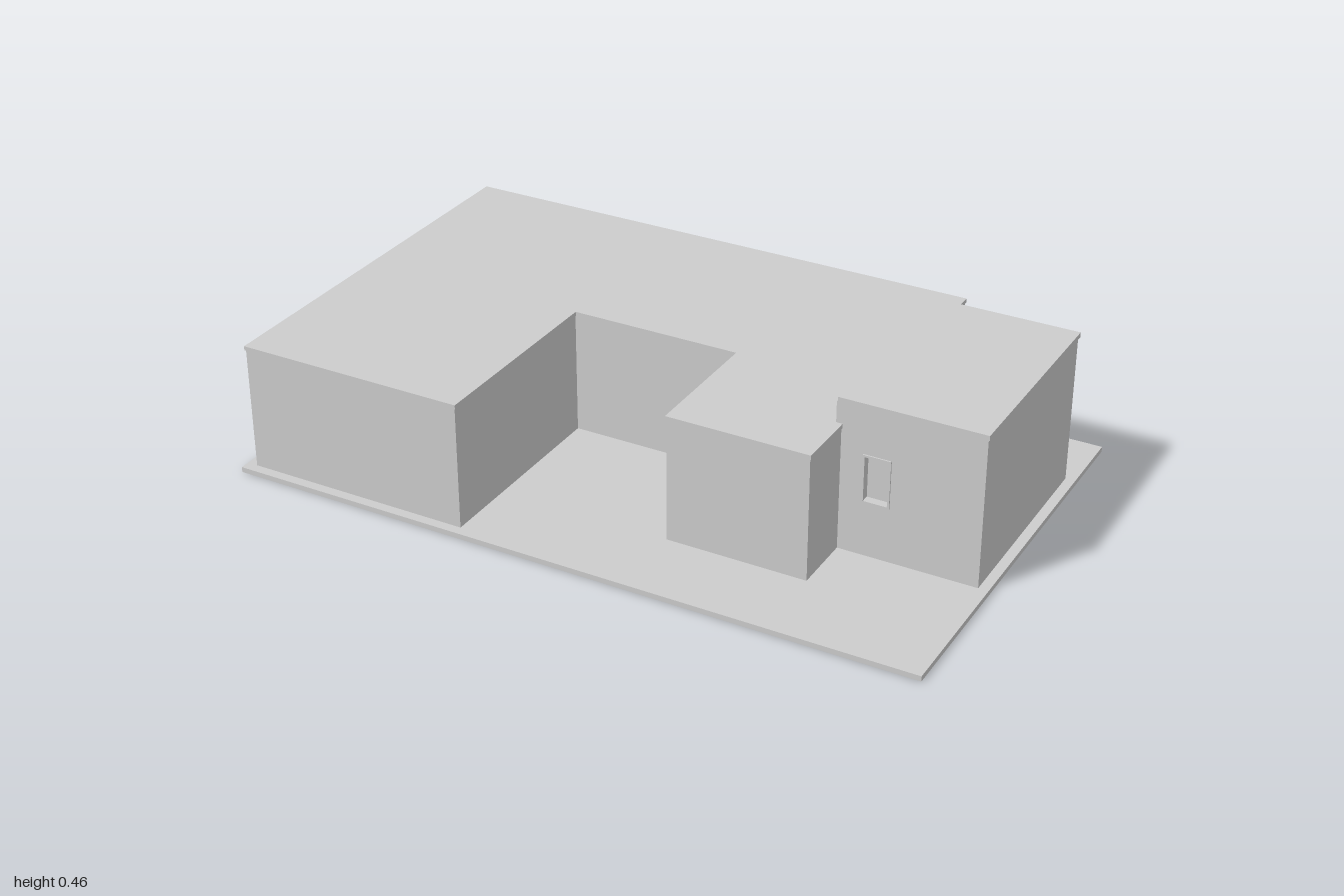
import * as THREE from 'three';

const GROUND = 0.015;
const RECESS = 0.02;

export function createModel() {
  const house = new THREE.Group();
  house.name = 'courtyardHouse';
  const plaster = new THREE.MeshStandardMaterial({ color: 0xcccccc });
  plaster.name = 'light grey plaster';

  function add(name, geometry, parent = house) {
    const mesh = new THREE.Mesh(geometry, plaster);
    mesh.name = name;
    parent.add(mesh);
    return mesh;
  }

  // Upright block over a floor plan given as [x, z] corners
  function block(name, plan, y0, y1) {
    const shape = new THREE.Shape(plan.map(([x, z]) => new THREE.Vector2(x, -z)));
    const geometry = new THREE.ExtrudeGeometry(shape, { depth: y1 - y0, bevelEnabled: false });
    geometry.rotateX(-Math.PI / 2);
    geometry.translate(0, y0, 0);
    return add(name, geometry);
  }

  const rect = (x0, z0, x1, z1) => [[x0, z0], [x1, z0], [x1, z1], [x0, z1]];
  const corners = (x0, y0, x1, y1) =>
    [[x0, y0], [x1, y0], [x1, y1], [x0, y1]].map(([x, y]) => new THREE.Vector2(x, y));

  // Flat rectangle with a rectangular opening, facing +z
  function pierced(outer, hole, depth) {
    const shape = new THREE.Shape(corners(...outer));
    shape.holes.push(new THREE.Path(corners(...hole)));
    return new THREE.ExtrudeGeometry(shape, { depth, bevelEnabled: false });
  }

  // Outer wall layer with a recessed window and its slim raised frame
  function windowWall(name, outer, win, position, turn) {
    const group = new THREE.Group();
    group.name = name;
    const [x0, y0, x1, y1] = win;
    const f = 0.006;
    const opening = [x0 + f, y0 + f, x1 - f, y1 - f];
    add('wallPanel', pierced(outer, opening, RECESS), group).position.z = -RECESS;
    add('windowFrame', pierced(win, opening, 0.004), group);
    group.position.set(...position);
    group.rotation.y = turn;
    house.add(group);
  }

  // Ground slab
  block('groundSlab', rect(-1, -0.613, 1, 0.613), 0, GROUND);

  // U-shaped main building; window walls leave room for their outer layer
  const mainPlan = (out, back, court) => [
    [-0.97 - out, -0.587 - out + back], [0.583 + out, -0.587 - out + back],
    [0.583 + out, 0.377 + out], [0.183 - out + court, 0.377 + out],
    [0.183 - out + court, -0.008 + out], [-0.313 + out, -0.008 + out],
    [-0.313 + out, 0.585 + out], [-0.97 - out, 0.585 + out],
  ];
  block('mainWalls', mainPlan(0, RECESS, RECESS), GROUND, 0.368);
  block('mainRoof', mainPlan(0.003, 0, 0), 0.368, 0.38);

  // Taller side block
  block('sideBlockWalls', rect(0.568, -0.406, 0.972, 0.201 - RECESS), GROUND, 0.441);
  block('sideBlockRoof', rect(0.573, -0.411, 0.976, 0.205), 0.441, 0.455);

  // Walls with windows: side block front, main back, courtyard side
  windowWall('sideBlockFrontWall', [0.568, GROUND, 0.972, 0.441],
    [0.645, 0.171, 0.723, 0.31], [0, 0, 0.201], 0);
  windowWall('backWall', [-0.583, GROUND, 0.97, 0.368],
    [0.078, 0.155, 0.188, 0.29], [0, 0, -0.587], Math.PI);
  windowWall('courtyardWall', [-0.008, GROUND, 0.377, 0.368],
    [0.075, 0.14, 0.2, 0.3], [0.183, 0, 0], -Math.PI / 2);

  return house;
}
